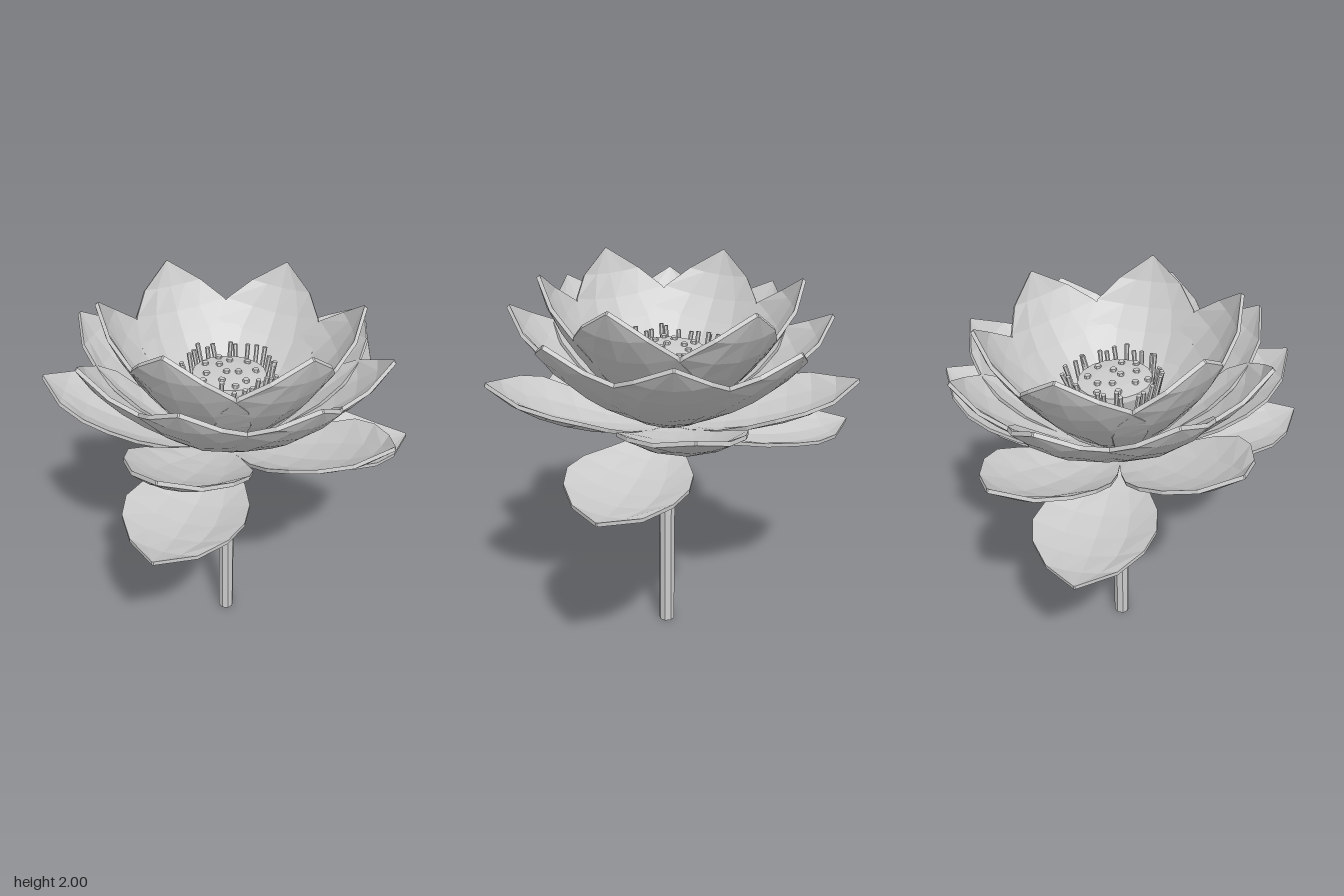
import * as THREE from 'three';

const grey = new THREE.MeshStandardMaterial({ color: 0xcccccc, flatShading: true });
grey.name = 'pale grey';

function add(parent, geometry, name, x = 0, y = 0, z = 0) {
  const mesh = new THREE.Mesh(geometry, grey);
  mesh.name = name;
  mesh.position.set(x, y, z);
  parent.add(mesh);
  return mesh;
}

// Cupped petal along +z: [distance, half width, midline sag] per cross-section
function petalGeometry() {
  const stations = [
    [0.015, 0.035, 0.0], [0.14, 0.105, 0.034], [0.3, 0.2, 0.062], [0.46, 0.274, 0.08],
    [0.61, 0.298, 0.083], [0.74, 0.262, 0.073], [0.87, 0.165, 0.046], [0.995, 0.004, 0.0],
  ];
  const across = [-1, -0.5, 0, 0.5, 1];
  const thick = 0.02;
  const pos = [], index = [];
  for (const [t, w, sag] of stations) {
    const rise = w * w * 1.02;
    const y = (s) => -sag + rise * s * s;
    for (const s of across) pos.push(s * w, y(s), t);
    for (const s of [...across].reverse()) pos.push(s * w, y(s) - thick, t);
  }
  const n = across.length * 2, last = (stations.length - 1) * n;
  for (let i = 0; i < stations.length - 1; i++) {
    for (let j = 0; j < n; j++) {
      const a = i * n + j, b = i * n + (j + 1) % n, c = a + n, d = b + n;
      index.push(a, c, b, b, c, d);
    }
  }
  // End caps
  for (let j = 1; j < n - 1; j++) {
    index.push(0, j, j + 1, last, last + j + 1, last + j);
  }
  const g = new THREE.BufferGeometry();
  g.setAttribute('position', new THREE.Float32BufferAttribute(pos, 3));
  g.setIndex(index);
  g.computeVertexNormals();
  return g;
}

function seeded(seed) {
  return () => (seed = (seed * 16807) % 2147483647) / 2147483647;
}

export function createModel() {
  const model = new THREE.Group();
  model.name = 'waterFlower';

  // Straight eight-sided stem
  add(model, new THREE.CylinderGeometry(0.043, 0.043, 1.2, 8), 'stem', 0, 0.6, -0.04);

  // Bloom, leaning slightly backwards
  const bloom = new THREE.Group();
  bloom.name = 'bloom';
  bloom.position.set(0, 1.19, -0.04);
  bloom.rotation.x = -0.06;
  model.add(bloom);

  // Petal rings: name, count, first angle, upward pitch (degrees)
  const petal = petalGeometry();
  const rings = [
    ['innerPetal', 6, 2, 50.7],
    ['middlePetal', 8, 13.5, 37.8],
    ['outerPetal', 5, 10.5, 20.8],
    ['sepal', 3, 10.6, -2],
  ];
  for (const [name, count, start, pitch] of rings) {
    for (let i = 0; i < count; i++) {
      const mesh = add(bloom, petal, name);
      mesh.rotation.order = 'YXZ';
      mesh.rotation.y = THREE.MathUtils.degToRad(start + (i * 360) / count);
      mesh.rotation.x = -THREE.MathUtils.degToRad(pitch);
    }
  }

  // Seed pod with a gently domed top
  const pod = [[0, 0], [0.05, 0.02], [0.13, 0.2], [0.19, 0.38], [0.185, 0.405], [0.1, 0.418], [0, 0.422]]
    .map(([r, y]) => new THREE.Vector2(r, y));
  add(bloom, new THREE.LatheGeometry(pod, 18), 'seedPod');

  // Seeds on the pod
  const seed = new THREE.CylinderGeometry(0.016, 0.018, 0.024, 6);
  const seeds = [
    [0.03, -0.13], [0.11, -0.07], [-0.05, -0.09], [-0.12, -0.1], [-0.14, 0.0], [-0.07, -0.02], [0.05, 0],
    [0.12, 0.05], [0.0, 0.03], [-0.08, 0.09], [0.02, 0.11], [0.1, 0.12], [-0.06, 0.155],
  ];
  for (const [x, z] of seeds) add(bloom, seed, 'seed', x, 0.424 - 0.5 * (x * x + z * z), z);

  // Stamens leaning outwards around the pod
  const rand = seeded(77);
  const count = 28;
  const up = new THREE.Vector3(0, 1, 0);
  const at = (r, a, y) => new THREE.Vector3(r * Math.sin(a), y, r * Math.cos(a));
  for (let i = 0; i < count; i++) {
    const a = ((i + 0.5 * rand()) / count) * Math.PI * 2;
    const base = at(0.18 + 0.02 * rand(), a, 0.23);
    const tip = at(0.215 + 0.04 * rand(), a + 0.2 * (rand() - 0.2), 0.43 + 0.04 * rand());
    const dir = tip.clone().sub(base);
    const mesh = add(bloom, new THREE.CylinderGeometry(0.012, 0.009, dir.length(), 6), 'stamen');
    mesh.position.copy(base).add(tip).multiplyScalar(0.5);
    mesh.quaternion.setFromUnitVectors(up, dir.normalize());
  }
  return model;
}
